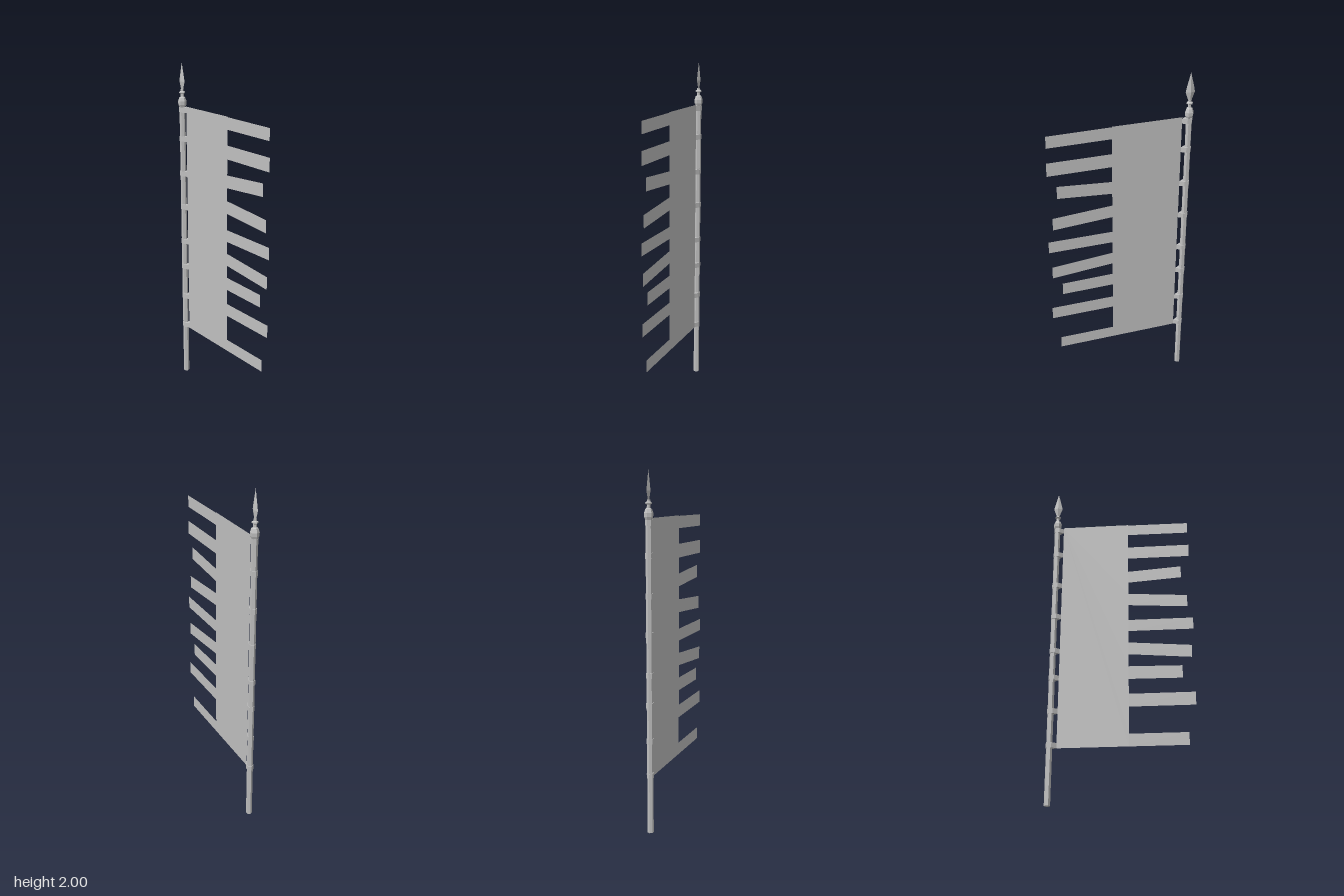
import * as THREE from 'three';

const POLE_X = -0.4;
const HEX = Math.PI / 6; // puts a corner of each six-sided part on the x axis

export function createModel() {
  const model = new THREE.Group();
  const metal = new THREE.MeshStandardMaterial({ name: 'grey', color: 0xc0c0c0, flatShading: true, side: THREE.DoubleSide });

  const add = (name, geometry, x = 0, y = 0) => {
    const mesh = new THREE.Mesh(geometry, metal);
    mesh.name = name;
    mesh.position.set(x, y, 0);
    model.add(mesh);
    return mesh;
  };

  // six-sided pole
  add('pole', new THREE.CylinderGeometry(0.0175, 0.0175, 1.75, 6, 1, false, HEX), POLE_X, 0.875);

  // knob, neck and collar under the spearhead
  const profile = [
    [0, 1.738], [0.017, 1.738], [0.024, 1.755], [0.025, 1.775], [0.018, 1.795],
    [0.01, 1.802], [0.009, 1.818], [0.018, 1.823], [0.018, 1.829], [0.009, 1.835], [0.009, 1.845], [0, 1.845],
  ].map(([r, y]) => new THREE.Vector2(r, y));
  add('finial', new THREE.LatheGeometry(profile, 6, HEX), POLE_X);

  // flattened four-sided spearhead
  const blade = [[0.009, 1.84], [0.027, 1.89], [0.021, 1.918], [0, 2]].map(([r, y]) => new THREE.Vector2(r, y));
  add('spearhead', new THREE.LatheGeometry(blade, 4), POLE_X).scale.z = 0.42;

  // cloth with ragged streamers: [outer x, inner top, inner bottom, outer top, outer bottom]
  const streamers = [
    [0.408, 1.745, 1.675, 1.742, 1.673],
    [0.412, 1.586, 1.507, 1.586, 1.507],
    [0.36, 1.415, 1.34, 1.437, 1.362],
    [0.392, 1.264, 1.188, 1.24, 1.165],
    [0.422, 1.09, 1.018, 1.09, 1.018],
    [0.408, 0.945, 0.87, 0.915, 0.84],
    [0.351, 0.795, 0.717, 0.79, 0.714],
    [0.42, 0.627, 0.55, 0.627, 0.55],
    [0.376, 0.392, 0.319, 0.392, 0.319],
  ];
  const edge = 0.043;
  const cloth = new THREE.Shape().moveTo(-0.36, 0.319).lineTo(-0.36, 1.748).lineTo(edge, 1.748);
  for (const [x, inTop, inBottom, outTop, outBottom] of streamers) {
    cloth.lineTo(edge, inTop).lineTo(x, outTop).lineTo(x, outBottom).lineTo(edge, inBottom);
  }
  cloth.closePath();
  add('flag', new THREE.ShapeGeometry(cloth));

  // loops wrapping the pole and tapering into the cloth
  const loop = new THREE.Shape();
  [[0.04, 0], [0.014, 0.017], [-0.01, 0.0175], [-0.02, 0], [-0.01, -0.0175], [0.014, -0.017]]
    .forEach(([x, z], i) => (i ? loop.lineTo(x, z) : loop.moveTo(x, z)));
  loop.closePath();
  const loopGeometry = new THREE.ExtrudeGeometry(loop, { depth: 0.03, bevelEnabled: false });
  loopGeometry.rotateX(-Math.PI / 2).translate(0, -0.015, 0);
  for (const y of [1.725, 1.552, 1.338, 1.128, 0.905, 0.737, 0.535, 0.335]) {
    add('poleLoop', loopGeometry, POLE_X, y);
  }

  return model;
}
